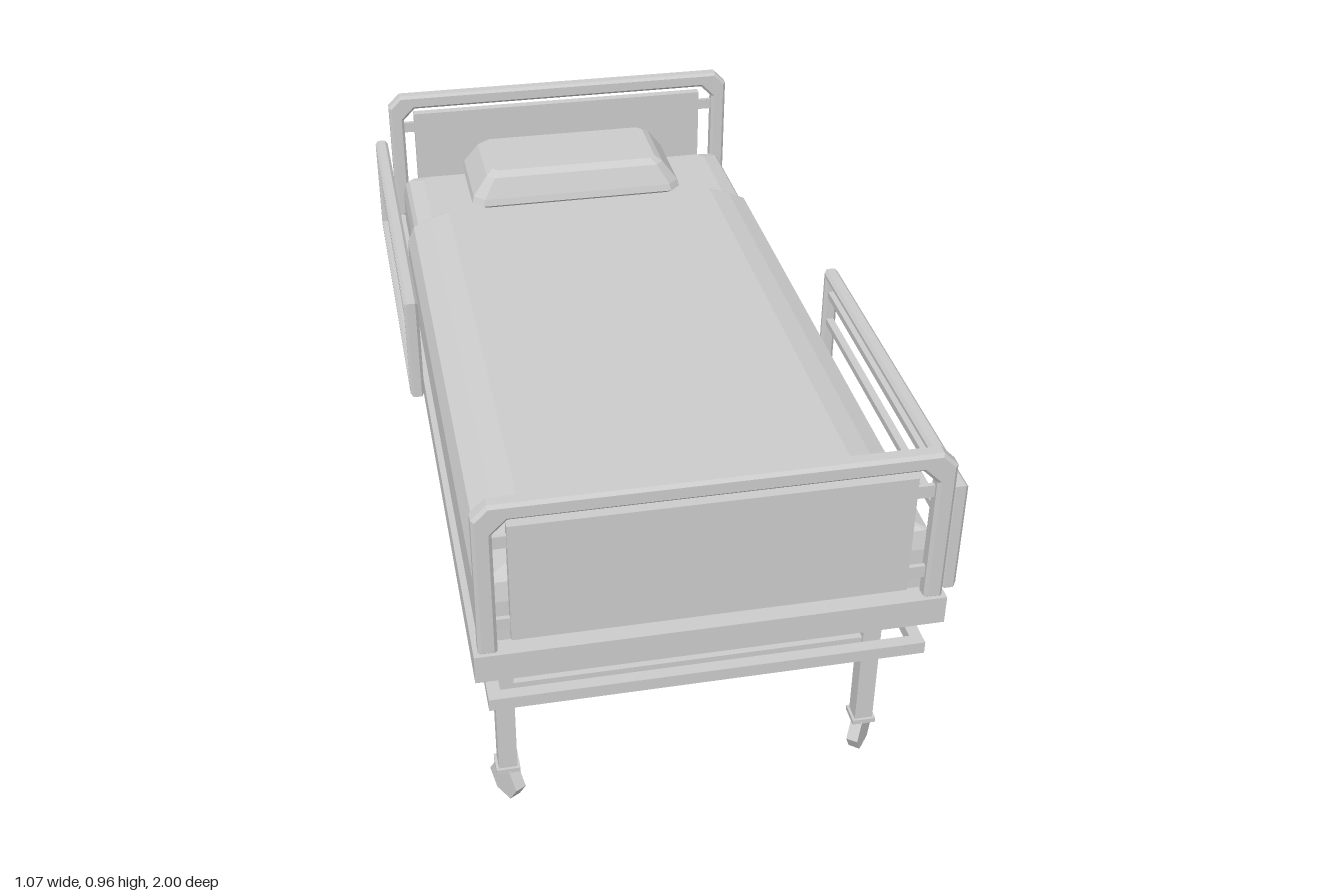
import * as THREE from 'three';

const mat = new THREE.MeshStandardMaterial({ color: 0xcccccc, flatShading: true, side: THREE.DoubleSide });

function add(parent, name, geometry) {
  const mesh = new THREE.Mesh(geometry, mat);
  mesh.name = name;
  parent.add(mesh);
  return mesh;
}

// Box given by its minimum and maximum on each axis
function box(parent, name, x0, x1, y0, y1, z0, z1) {
  const mesh = add(parent, name, new THREE.BoxGeometry(x1 - x0, y1 - y0, z1 - z0));
  mesh.position.set((x0 + x1) / 2, (y0 + y1) / 2, (z0 + z1) / 2);
}

// Extruded outline with an optional hole, centred in depth, with a small bevel
function plate(outline, hole, depth, bevel = 0.007) {
  const pts = (list) => list.map(([x, y]) => new THREE.Vector2(x, y));
  const shape = new THREE.Shape(pts(outline));
  if (hole) shape.holes.push(new THREE.Path(pts(hole)));
  const geo = new THREE.ExtrudeGeometry(shape, {
    depth: depth - 2 * bevel, bevelEnabled: bevel > 0, bevelThickness: bevel,
    bevelSize: bevel, bevelOffset: -bevel, bevelSegments: 1,
  });
  return geo.translate(0, 0, bevel - depth / 2);
}

const rect = (x0, x1, y0, y1) => [[x0, y0], [x1, y0], [x1, y1], [x0, y1]];

// Closed solid through stacked rectangles with cut corners: [y, x0, x1, z0, z1, cut]
function loft(rings) {
  const pos = [], index = [], n = 8;
  for (const [y, x0, x1, z0, z1, c] of rings) {
    const loop = [[x0 + c, z1], [x1 - c, z1], [x1, z1 - c], [x1, z0 + c],
      [x1 - c, z0], [x0 + c, z0], [x0, z0 + c], [x0, z1 - c]];
    for (const [x, z] of loop) pos.push(x, y, z);
  }
  for (let r = 0; r < rings.length - 1; r++) {
    for (let i = 0; i < n; i++) {
      const a = r * n + i, b = r * n + (i + 1) % n;
      index.push(a, b, b + n, a, b + n, a + n);
    }
  }
  const top = (rings.length - 1) * n;
  for (let i = 1; i < n - 1; i++) index.push(0, i + 1, i, top, top + i, top + i + 1);
  const geo = new THREE.BufferGeometry();
  geo.setAttribute('position', new THREE.Float32BufferAttribute(pos, 3));
  geo.setIndex(index);
  geo.computeVertexNormals();
  return geo;
}

// Rectangular ring of four bars lying flat
function barRing(parent, name, x0, x1, y0, y1, z0, z1, t) {
  const ring = new THREE.Group();
  ring.name = name;
  for (const x of [x0, x1 - t]) box(ring, name + 'Side', x, x + t, y0, y1, z0, z1);
  for (const z of [z0, z1 - t]) box(ring, name + 'End', x0 + t, x1 - t, y0, y1, z, z + t);
  parent.add(ring);
}

// Arched tube with a panel held by short tabs
function endBoard(name, z) {
  const g = new THREE.Group();
  g.name = name;
  const arch = (w, top, c) => [[w, 0.59], [w, top - c], [w - c, top], [c - w, top], [-w, top - c], [-w, 0.59]];
  const outer = arch(0.488, 0.96, 0.032);
  const inner = arch(0.448, 0.921, 0.032).reverse();
  add(g, 'boardTube', plate([...outer, ...inner], null, 0.038));
  box(g, 'boardPanel', -0.419, 0.41, 0.617, 0.903, -0.012, 0.012);
  for (const y of [0.64, 0.847]) {
    box(g, 'panelTab', -0.455, -0.41, y, y + 0.029, -0.005, 0.005);
    box(g, 'panelTab', 0.405, 0.455, y, y + 0.029, -0.005, 0.005);
  }
  g.position.z = z;
  return g;
}

// Guard rail: beveled ring with two inner bars
function sideRail(name, x, z0, z1) {
  const g = new THREE.Group();
  g.name = name;
  const t = 0.022;
  const ring = plate(rect(z0, z1, 0.583, 0.848), rect(z0 + t, z1 - t, 0.583 + t, 0.848 - t), 0.034);
  add(g, 'railFrame', ring.rotateY(-Math.PI / 2));
  for (const y of [0.71, 0.787]) box(g, 'railBar', -0.009, 0.009, y - 0.008, y + 0.008, z0 + 0.015, z1 - 0.015);
  g.position.x = x;
  return g;
}

// Leg with collar and a six-sided wheel turned about the leg
function leg(x, z, turn) {
  const g = new THREE.Group();
  g.name = 'leg';
  box(g, 'legPost', -0.021, 0.021, 0.09, 0.59, -0.021, 0.021);
  box(g, 'legCollar', -0.027, 0.027, 0.081, 0.093, -0.027, 0.027);
  const wheel = add(g, 'casterWheel', new THREE.CylinderGeometry(0.049, 0.049, 0.027, 6));
  wheel.geometry.rotateZ(Math.PI / 2);
  wheel.position.y = 0.0425;
  wheel.rotation.y = turn;
  g.position.set(x, 0, z);
  return g;
}

export function createModel() {
  const bed = new THREE.Group();
  bed.name = 'hospitalBed';

  // Bed frame: deep rim around a thin deck
  const rim = plate(rect(-0.498, 0.496, -1, 1), rect(-0.468, 0.466, -0.97, 0.97), 0.067, 0);
  add(bed, 'bedRim', rim.rotateX(-Math.PI / 2)).position.y = 0.561;
  box(bed, 'bedDeck', -0.469, 0.467, 0.586, 0.592, -0.971, 0.971);

  // Bedding
  add(bed, 'mattress', loft([
    [0.592, -0.466, 0.464, -0.932, 0.94, 0.01],
    [0.675, -0.466, 0.464, -0.932, 0.94, 0.01],
    [0.715, -0.46, 0.458, -0.918, 0.93, 0.012],
    [0.73, -0.45, 0.448, -0.905, 0.915, 0.015],
    [0.741, -0.41, 0.408, -0.885, 0.88, 0.02],
  ]));
  add(bed, 'blanket', loft([
    [0.592, -0.484, 0.482, -0.61, 0.953, 0.006],
    [0.69, -0.481, 0.479, -0.61, 0.95, 0.006],
    [0.732, -0.463, 0.461, -0.61, 0.94, 0.006],
    [0.753, -0.418, 0.416, -0.61, 0.915, 0.006],
    [0.768, -0.365, 0.363, -0.61, 0.875, 0.006],
  ]));
  add(bed, 'pillow', loft([
    [0.74, -0.27, 0.26, -0.895, -0.66, 0.02],
    [0.762, -0.295, 0.287, -0.92, -0.628, 0.028],
    [0.78, -0.29, 0.282, -0.917, -0.633, 0.028],
    [0.832, -0.25, 0.242, -0.9, -0.655, 0.02],
    [0.845, -0.232, 0.222, -0.88, -0.675, 0.015],
  ]));

  // Head and foot boards, guard rails
  bed.add(endBoard('footBoard', 0.974), endBoard('headBoard', -0.971));
  bed.add(sideRail('leftRail', 0.515, 0.034, 0.957), sideRail('rightRail', -0.518, -0.922, 0.01));

  // Underframe
  barRing(bed, 'upperUnderframe', -0.473, 0.461, 0.445, 0.474, -0.988, 0.998, 0.027);
  barRing(bed, 'lowerBrace', -0.436, 0.425, 0.311, 0.338, -0.938, 0.81, 0.027);

  // Legs on casters, each pair turned its own way
  bed.add(leg(0.412, 0.796, -0.66), leg(0.412, -0.925, -0.84));
  for (const z of [0.796, -0.925]) bed.add(leg(-0.422, z, 0.52));
  return bed;
}
